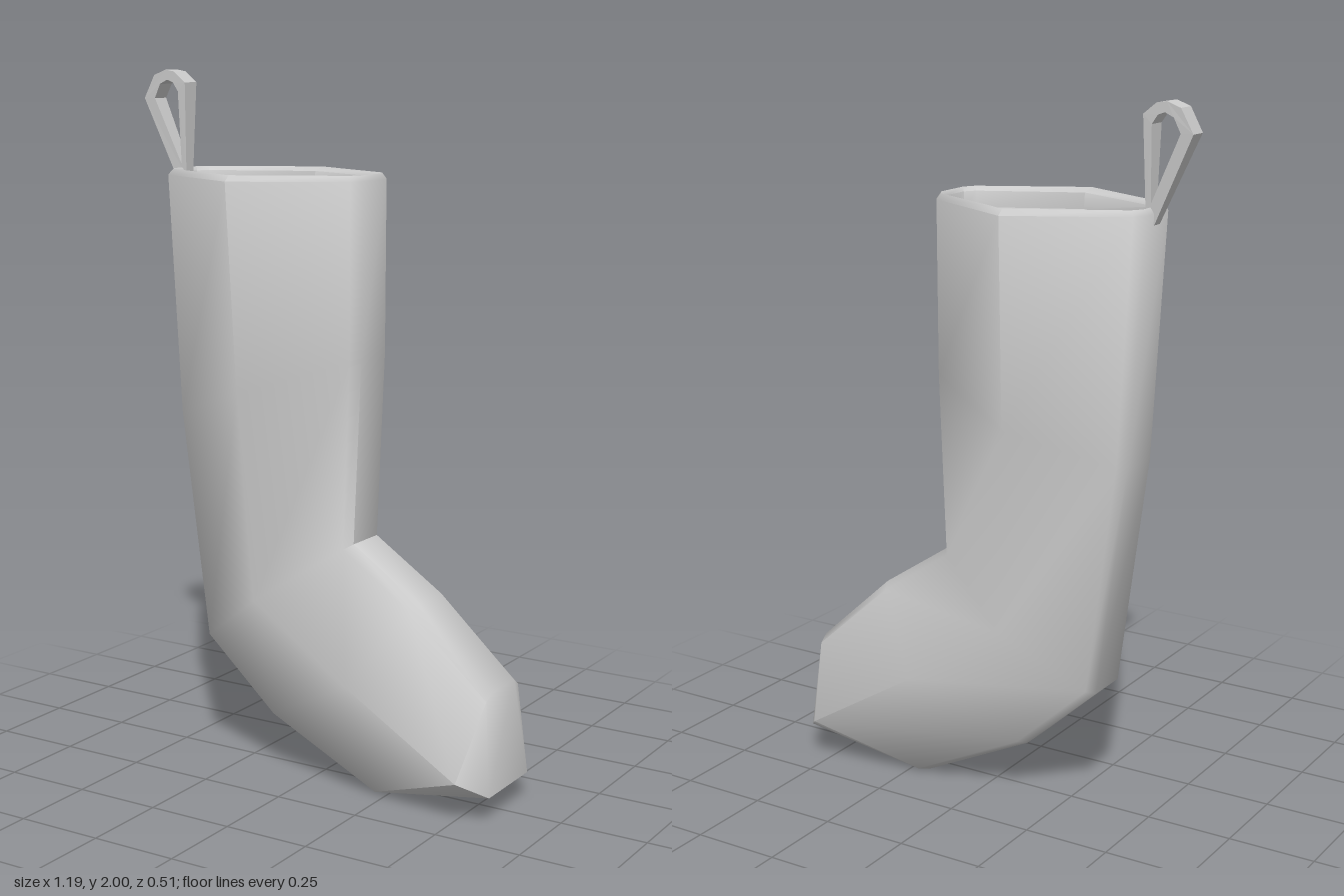
import * as THREE from 'three';
import { toCreasedNormals } from 'three/addons/utils/BufferGeometryUtils.js';

const material = new THREE.MeshStandardMaterial({ color: 0xcccccc, side: THREE.DoubleSide });

// Six-sided section with softened end corners: heel side a, widest middle m, instep side b
function ring({ a, m, b, w, n }, soft = 0.022) {
  const half = [];
  for (const end of [a, b]) {
    const corner = new THREE.Vector3(end[0], end[1], n);
    const mid = new THREE.Vector3(m[0], m[1], w);
    const onSide = corner.clone().add(mid.sub(corner).setLength(soft));
    const onEnd = corner.clone().setZ(n - soft);
    half.push(...(end === a ? [onEnd, onSide, new THREE.Vector3(m[0], m[1], w)] : [onSide, onEnd]));
  }
  const mirrored = half.map(p => new THREE.Vector3(p.x, p.y, -p.z)).reverse();
  return [...half, ...mirrored];
}

function stockingGeometry() {
  const sections = [
    // recessed opening and rolled rim
    { a: [-0.46, 1.67], m: [-0.16, 1.67], b: [0.132, 1.67], w: 0.192, n: 0.06 },
    { a: [-0.463, 1.715], m: [-0.16, 1.715], b: [0.135, 1.715], w: 0.197, n: 0.062 },
    { a: [-0.474, 1.726], m: [-0.16, 1.726], b: [0.146, 1.726], w: 0.235, n: 0.077 },
    { a: [-0.485, 1.71], m: [-0.16, 1.71], b: [0.155, 1.71], w: 0.254, n: 0.085 },
    // leg
    { a: [-0.447, 1.03], m: [-0.15, 1.13], b: [0.153, 1.23], w: 0.222, n: 0.085 },
    // heel, instep and ball of the foot
    { a: [-0.36, 0.37], m: [-0.12, 0.54], b: [0.13, 0.71], w: 0.19, n: 0.085 },
    { a: [-0.14, 0.17], m: [0.18, 0.34], b: [0.34, 0.57], w: 0.19, n: 0.085 },
    { a: [0.2, 0.005], m: [0.525, 0.13], b: [0.57, 0.36], w: 0.19, n: 0.085 },
  ];
  const rings = sections.map(s => ring(s));
  // every side closes onto the short toe edge
  rings.push(rings[0].map(p => new THREE.Vector3(0.59, 0.08, Math.sign(p.z) * 0.115)));

  const pos = [];
  const tri = (...pts) => pts.forEach(p => pos.push(p.x, p.y, p.z));
  const count = rings[0].length;
  for (let i = 0; i < rings.length - 1; i++) {
    const up = rings[i], low = rings[i + 1];
    for (let j = 0; j < count; j++) {
      const k = (j + 1) % count;
      tri(low[j], low[k], up[k]);
      if (up[j].distanceTo(up[k]) > 1e-6) tri(low[j], up[k], up[j]);
    }
  }
  // floor of the opening
  const centre = new THREE.Vector3(-0.16, 1.665, 0);
  for (let j = 0; j < count; j++) tri(centre, rings[0][j], rings[0][(j + 1) % count]);

  const geo = new THREE.BufferGeometry();
  geo.setAttribute('position', new THREE.Float32BufferAttribute(pos, 3));
  return toCreasedNormals(geo, 1.02);
}

function loopGeometry() {
  const points = list => list.map(([x, y]) => new THREE.Vector2(x, y));
  const shape = new THREE.Shape(points([
    [-0.485, 1.68], [-0.46, 1.7], [-0.453, 1.965], [-0.49, 1.995],
    [-0.52, 2], [-0.56, 1.985], [-0.596, 1.92],
  ]));
  shape.holes.push(new THREE.Path(points([
    [-0.475, 1.735], [-0.56, 1.92], [-0.54, 1.96], [-0.515, 1.972], [-0.495, 1.965], [-0.478, 1.94],
  ])));
  const geo = new THREE.ExtrudeGeometry(shape, { depth: 2, bevelEnabled: false });
  // the strap narrows towards its attachment
  const p = geo.attributes.position;
  for (let i = 0; i < p.count; i++) {
    const t = THREE.MathUtils.clamp((p.getY(i) - 1.7) / 0.25, 0, 1);
    p.setZ(i, (p.getZ(i) - 1) * THREE.MathUtils.lerp(0.016, 0.028, t));
  }
  geo.computeVertexNormals();
  return geo;
}

export function createModel() {
  const group = new THREE.Group();
  group.name = 'stocking';
  for (const [name, geo] of [['sock', stockingGeometry()], ['hangingLoop', loopGeometry()]]) {
    const mesh = new THREE.Mesh(geo, material);
    mesh.name = name;
    group.add(mesh);
  }
  return group;
}
